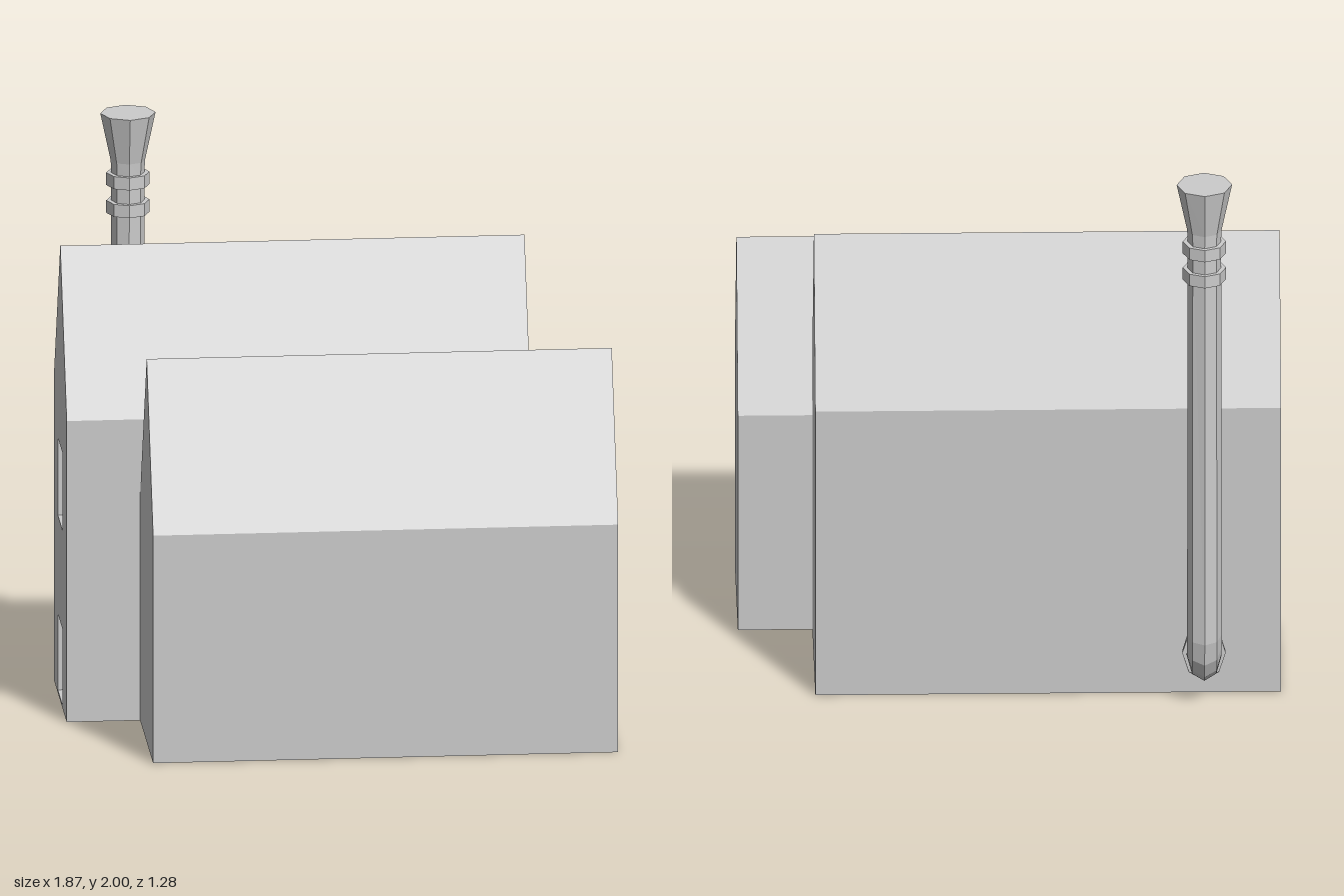
import * as THREE from 'three';

const grey = () => new THREE.MeshStandardMaterial({ color: 0xcccccc, flatShading: true });

function add(parent, name, geometry) {
  const mesh = new THREE.Mesh(geometry, grey());
  mesh.name = name;
  parent.add(mesh);
  return mesh;
}

// Gabled outline, centred on the ridge
function gable(halfWidth, eave, ridge) {
  return new THREE.Shape([
    [-halfWidth, 0], [halfWidth, 0], [halfWidth, eave], [0, ridge], [-halfWidth, eave],
  ].map(([u, v]) => new THREE.Vector2(u, v)));
}

function rectHole(halfWidth, bottom, top) {
  return new THREE.Path([
    [-halfWidth, bottom], [-halfWidth, top], [halfWidth, top], [halfWidth, bottom],
  ].map(([u, v]) => new THREE.Vector2(u, v)));
}

// Extrude an outline along x, from x0 to x1, with its middle at z
function alongX(shape, x0, x1, z) {
  return new THREE.ExtrudeGeometry(shape, { depth: x1 - x0, bevelEnabled: false })
    .rotateY(Math.PI / 2)
    .translate(x0, 0, z);
}

// Eight-sided solid through rings; each ring is
// [inner z, inner y, outer z, outer y, half width in x]
function ringSolid(rings, x, sides = 8) {
  const point = ([zi, yi, zo, yo, rx], k) => {
    const a = (k / sides) * Math.PI * 2;
    const s = Math.sin(a);
    return [
      x + rx * Math.cos(a),
      (yi + yo) / 2 + ((yi - yo) / 2) * s,
      (zi + zo) / 2 + ((zi - zo) / 2) * s,
    ];
  };
  const middle = ([zi, yi, zo, yo]) => [x, (yi + yo) / 2, (zi + zo) / 2];
  const first = rings[0];
  const last = rings[rings.length - 1];
  const pos = [];
  for (let k = 0; k < sides; k++) {
    for (let i = 0; i < rings.length - 1; i++) {
      const a = point(rings[i], k);
      const b = point(rings[i + 1], k);
      const c = point(rings[i + 1], k + 1);
      const d = point(rings[i], k + 1);
      pos.push(...a, ...b, ...c, ...a, ...c, ...d);
    }
    pos.push(...middle(first), ...point(first, k), ...point(first, k + 1));
    pos.push(...middle(last), ...point(last, k + 1), ...point(last, k));
  }
  const geometry = new THREE.BufferGeometry();
  geometry.setAttribute('position', new THREE.Float32BufferAttribute(pos, 3));
  geometry.computeVertexNormals();
  return geometry;
}

export function createModel() {
  const model = new THREE.Group();
  model.name = 'twinHouse';

  // Lower house at the front
  add(model, 'frontHouse', alongX(gable(0.264, 0.82, 1.38), -0.68, 0.935, 0.376));

  // Taller house behind, with a recessed door and window in its end wall
  const backHouse = new THREE.Group();
  backHouse.name = 'backHouse';
  model.add(backHouse);
  const ridgeZ = -0.155;
  const recess = 0.04;
  add(backHouse, 'backHouseBody', alongX(gable(0.265, 1.085, 1.64), -0.935 + recess, 0.677, ridgeZ));
  const endWall = gable(0.265, 1.085, 1.64);
  endWall.holes.push(rectHole(0.1, 0.01, 0.285), rectHole(0.1, 0.64, 0.92));
  add(backHouse, 'endWall', alongX(endWall, -0.935, -0.935 + recess, ridgeZ));

  // Stove pipe: out of the back wall, round the elbow and up
  const pipe = new THREE.Group();
  pipe.name = 'stovePipe';
  model.add(pipe);
  const pipeX = -0.667;
  add(pipe, 'pipe', ringSolid([
    [-0.41, 0.265, -0.41, 0.08, 0.06],
    [-0.47, 0.265, -0.47, 0.077, 0.06],
    [-0.485, 0.265, -0.52, 0.09, 0.06],
    [-0.492, 0.268, -0.565, 0.125, 0.06],
    [-0.498, 0.278, -0.598, 0.185, 0.06],
    [-0.503, 0.3, -0.614, 0.27, 0.06],
    [-0.487, 1.8, -0.607, 1.8, 0.058],
  ], pipeX));

  // Collar on the elbow
  add(pipe, 'elbowCollar', ringSolid([
    [-0.453, 0.275, -0.453, 0.072, 0.075],
    [-0.458, 0.287, -0.458, 0.062, 0.075],
    [-0.47, 0.275, -0.47, 0.072, 0.075],
  ], pipeX));

  // Two collars near the top
  for (const y of [1.64, 1.74]) {
    add(pipe, 'upperCollar', ringSolid([
      [-0.472, y, -0.622, y, 0.075],
      [-0.472, y + 0.045, -0.622, y + 0.045, 0.075],
    ], pipeX));
  }

  // Flared, closed mouth
  add(pipe, 'flaredTop', ringSolid([
    [-0.487, 1.78, -0.607, 1.78, 0.057],
    [-0.484, 1.83, -0.608, 1.83, 0.06],
    [-0.447, 2, -0.64, 2, 0.096],
  ], pipeX));

  return model;
}
